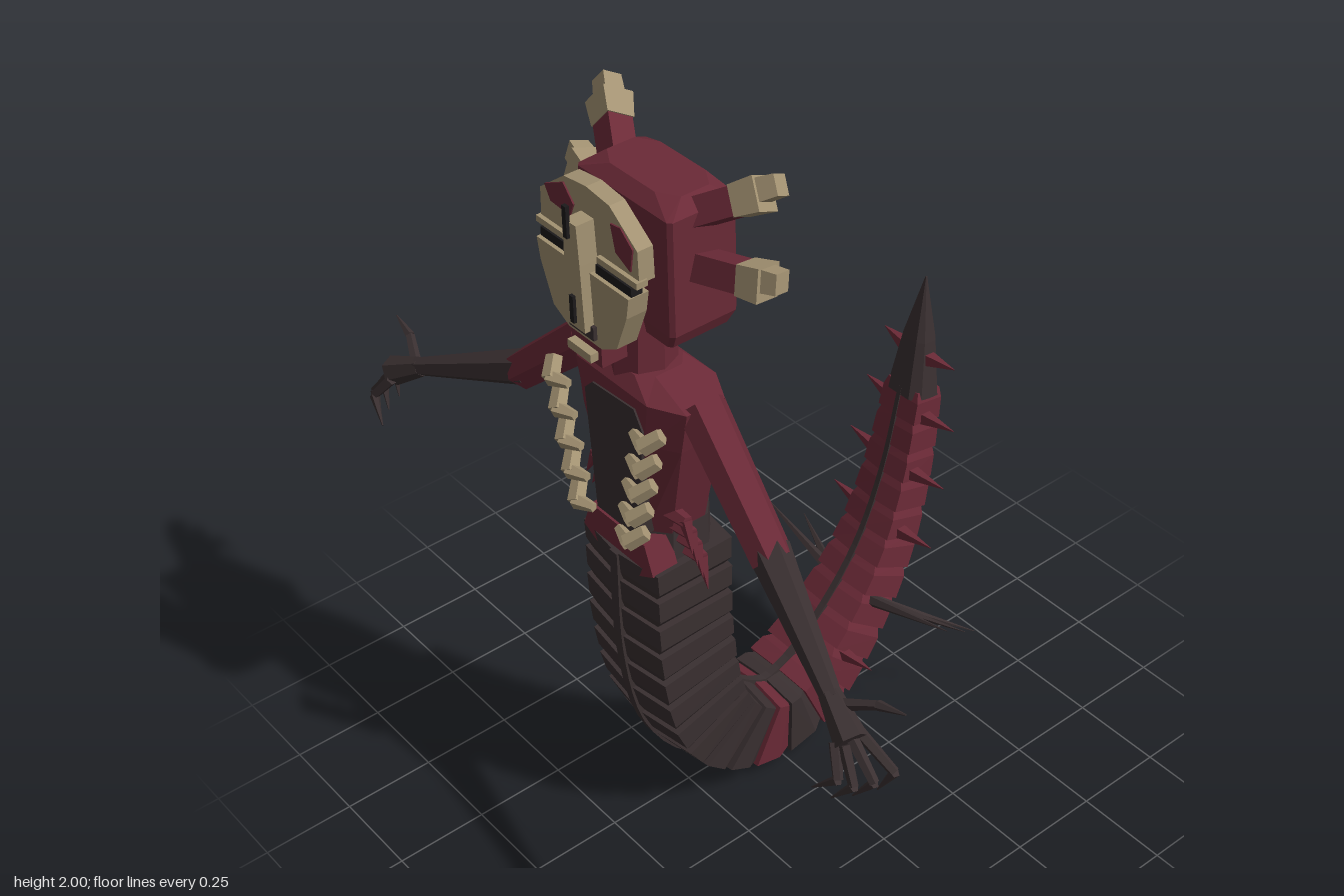
import * as THREE from 'three';

const mat = (name, color) => {
  const m = new THREE.MeshStandardMaterial({ color, flatShading: true });
  m.name = name;
  return m;
};
const V = (x, y, z) => new THREE.Vector3(x, y, z);

export function createModel() {
  const root = new THREE.Group();
  const maroon = mat('maroon', 0x6b2a37);
  const dark = mat('charcoal', 0x3a3031);
  const bone = mat('bone', 0xa39272);
  const black = mat('black', 0x1c1a1b);

  const add = (name, geo, m, parent = root) => {
    const mesh = new THREE.Mesh(geo, m);
    mesh.name = name;
    parent.add(mesh);
    return mesh;
  };
  const box = (name, m, x, y, z, w, h, d) => {
    const mesh = add(name, new THREE.BoxGeometry(w, h, d), m);
    mesh.position.set(x, y, z);
    return mesh;
  };
  // tapered prism between two points
  const limb = (name, m, a, b, r1, r2, sides = 6) => {
    const dir = b.clone().sub(a);
    const geo = new THREE.CylinderGeometry(r2, r1, dir.length(), sides);
    if (sides === 4) geo.rotateY(Math.PI / 4);
    const mesh = add(name, geo, m);
    mesh.position.copy(a).lerp(b, 0.5);
    mesh.quaternion.setFromUnitVectors(V(0, 1, 0), dir.normalize());
    return mesh;
  };
  // extruded flat outline facing +z
  const plate = (name, m, pts, z, depth) => {
    const shape = new THREE.Shape(pts.map(p => new THREE.Vector2(...p)));
    return add(name, new THREE.ExtrudeGeometry(shape, { depth, bevelEnabled: false }), m).translateZ(z);
  };
  const sym = half => [...half, ...half.filter(p => p[0] > 0).reverse().map(([x, y]) => [-x, y])];
  // closed skin through rings of equal length
  const loft = rings => {
    const pos = [], n = rings[0].length;
    const tri = (...ps) => ps.forEach(p => pos.push(p.x, p.y, p.z));
    for (let i = 0; i < rings.length - 1; i++) {
      for (let j = 0; j < n; j++) {
        const k = (j + 1) % n, A = rings[i], B = rings[i + 1];
        tri(A[j], A[k], B[k]);
        tri(A[j], B[k], B[j]);
      }
    }
    const S = rings[0], E = rings[rings.length - 1];
    for (let j = 1; j < n - 1; j++) {
      tri(S[0], S[j + 1], S[j]);
      tri(E[0], E[j], E[j + 1]);
    }
    const g = new THREE.BufferGeometry();
    g.setAttribute('position', new THREE.Float32BufferAttribute(pos, 3));
    g.computeVertexNormals();
    return g;
  };
  // cross-section in x and the outward direction (0, ny, nz)
  const ring = (y, z, w, d, profile, ny = 0, nz = 1) =>
    profile.map(([u, v]) => V(u * w, y + v * d * ny, z + v * d * nz));
  const chamfered = [[1, -0.55], [1, 0.55], [0.6, 1], [-0.6, 1], [-1, 0.55], [-1, -0.55], [-0.6, -1], [0.6, -1]];
  const ridged = [[1, -0.86], [1, 0.86], [0, 1], [-1, 0.86], [-1, -0.86], [0, -1]];
  const square = [[1, -1], [1, 1], [-1, 1], [-1, -1]];

  // tail path: x carries the half depth of the body
  const path = new THREE.CatmullRomCurve3([
    V(0.132, 0.925, 0.325), V(0.132, 0.6, 0.318), V(0.128, 0.36, 0.27), V(0.115, 0.2, 0.165), V(0.103, 0.115, 0),
    V(0.1, 0.15, -0.13), V(0.09, 0.27, -0.265), V(0.075, 0.47, -0.4), V(0.062, 0.7, -0.48), V(0.05, 0.96, -0.527)]);
  const tailRing = (t, profile, kw, kd) => {
    const p = path.getPointAt(t), q = path.getTangentAt(t), l = Math.hypot(q.y, q.z);
    return ring(p.y, p.z, (p.x + 0.013) * kw, p.x * kd, profile, q.z / l, -q.y / l);
  };
  const N = 23;
  for (let i = 0; i < N; i++) {
    const a = i / N, z = path.getPointAt(a + 0.5 / N).z;
    const red = z < -0.1 || i === 10;
    add('tailSegment', loft([tailRing(a, ridged, 1, 1), tailRing(a + 0.7 / N, ridged, 1, 0.98),
      tailRing(a + 1 / N, ridged, 0.87, 0.92)]), red ? maroon : dark);
  }
  const steps = [...Array(41).keys()].map(i => i / 40);
  add('tailSpine', loft(steps.map(t => tailRing(t, square, 0.1, 1.03))), dark);
  // pointed tail end
  add('tailTip', loft([ring(0.94, -0.524, 0.062, 0.052, chamfered, -0.1, -1),
    ring(1.1, -0.538, 0.04, 0.034, chamfered, -0.1, -1),
    ring(1.275, -0.552, 0.002, 0.002, chamfered, -0.1, -1)].map(r => r.reverse()).map(r => r.reverse())), dark);

  // torso
  add('torso', loft([
    ring(1.455, 0.345, 0.09, 0.07, chamfered), ring(1.42, 0.34, 0.215, 0.1, chamfered),
    ring(1.3, 0.335, 0.19, 0.105, chamfered), ring(1.0, 0.32, 0.115, 0.09, chamfered)]), maroon);
  add('waist', loft([ring(1.01, 0.315, 0.118, 0.095, chamfered), ring(0.9, 0.32, 0.125, 0.1, chamfered)]), dark);
  plate('chestPanel', dark, [[-0.1, 1.35], [-0.075, 1.01], [0.085, 1.01], [0.115, 1.34], [0.085, 1.39], [-0.07, 1.38]], 0.38, 0.065);
  plate('pelvisPlate', maroon, sym([[0, 0.87], [0.06, 0.88], [0.135, 0.92], [0.105, 1.0]]), 0.37, 0.075);
  limb('neck', maroon, V(0, 1.43, 0.35), V(0, 1.62, 0.345), 0.082, 0.08, 8);

  // head block with bevelled edges
  add('head', loft([
    ring(1.925, 0.29, 0.13, 0.07, chamfered), ring(1.895, 0.295, 0.165, 0.092, square),
    ring(1.6, 0.295, 0.165, 0.092, square), ring(1.565, 0.3, 0.15, 0.08, square)]
    .map((r, i) => (i ? ring(r[0].y, [0, 0.295, 0.295, 0.3][i], r[0].x, [0, 0.095, 0.095, 0.085][i],
      [[1, -0.9], [1, 0.9], [0.94, 1], [-0.94, 1], [-1, 0.9], [-1, -0.9], [-0.94, -1], [0.94, -1]]) : r))), maroon);

  // floating mask
  plate('maskBrow', bone, sym([[0.175, 1.79], [0.172, 1.87], [0.08, 1.94], [0, 1.95]]), 0.44, 0.042);
  plate('maskCheeks', bone, sym([[0, 1.57], [0.06, 1.57], [0.115, 1.6], [0.155, 1.7], [0.165, 1.755]]), 0.45, 0.055);
  plate('noseBridge', bone, sym([[0.035, 1.61], [0.028, 1.78], [0.022, 1.88]]), 0.475, 0.055);
  plate('leftBrowMark', maroon, [[0.085, 1.9], [0.1, 1.835], [0.15, 1.81], [0.16, 1.87], [0.12, 1.905]], 0.48, 0.006);
  plate('rightBrowMark', maroon, [[-0.15, 1.89], [-0.13, 1.855], [-0.06, 1.85], [-0.045, 1.885], [-0.08, 1.925]], 0.48, 0.006);
  box('upperSlit', black, -0.008, 1.88, 0.533, 0.014, 0.08, 0.01);
  box('lowerSlit', black, 0, 1.66, 0.533, 0.014, 0.07, 0.01);
  box('mouth', dark, 0, 1.605, 0.5, 0.09, 0.035, 0.03);
  box('chin', maroon, 0, 1.545, 0.468, 0.11, 0.06, 0.07);
  box('lowerLip', bone, 0, 1.542, 0.512, 0.085, 0.022, 0.025);

  for (const s of [1, -1]) {
    const P = (x, y, z) => V(x * s, y, z);
    // eyes
    box('eye', black, s * 0.1, 1.765, 0.48, 0.125, 0.026, 0.03);
    box('eyeRidge', bone, s * 0.11, 1.79, 0.478, 0.14, 0.016, 0.03);
    // horns with stepped bone ends
    for (const [a, b] of [[P(0.09, 1.845, 0.32), P(0.285, 1.962, 0.205)], [P(0.12, 1.75, 0.31), P(0.345, 1.775, 0.25)]]) {
      const at = t => a.clone().lerp(b, t);
      limb('horn', maroon, a, at(0.7), 0.046, 0.046, 4);
      limb('hornCap', bone, at(0.66), at(0.92), 0.05, 0.056, 4);
      limb('hornTip', bone, at(0.85).add(V(0, 0.01, 0)), at(1.08).add(V(0, 0.01, 0)), 0.038, 0.034, 4);
    }
    // ribs: short hooks standing off the chest
    for (let i = 0; i < 5; i++) {
      const y = 1.375 - i * 0.081, x = 0.2 - i * 0.018;
      limb('rib', bone, P(x, y + 0.012, 0.455), P(x - 0.03, y - 0.02, 0.49), 0.021, 0.023, 5);
      limb('ribEnd', bone, P(x - 0.025, y - 0.018, 0.488), P(x - 0.08, y - 0.014, 0.475), 0.022, 0.012, 5);
    }
    // curved hip spines
    for (let i = 0; i < 4; i++) {
      const y = 1.08 - i * 0.045, z = 0.37 - i * 0.015;
      limb('hipSpineBase', maroon, P(0.1, y - 0.01, z), P(0.175, y - 0.005, z), 0.024, 0.017, 5);
      limb('hipSpineTip', maroon, P(0.17, y, z), P(0.205, y - 0.075, z + 0.01), 0.018, 0.001, 5);
    }
    // arms
    limb('upperArm', maroon, P(0.19, 1.41, 0.335), P(0.475, 1.155, 0.365), 0.06, 0.052);
    limb('forearm', dark, P(0.455, 1.17, 0.36), P(0.8, 1.035, 0.475), 0.05, 0.024);
    limb('palm', dark, P(0.785, 1.04, 0.47), P(0.885, 0.985, 0.495), 0.026, 0.04);
    const fingers = [
      [P(0.87, 1.0, 0.47), P(0.97, 0.925, 0.445), P(0.935, 0.855, 0.46)],
      [P(0.88, 0.99, 0.49), P(0.955, 0.91, 0.49), P(0.91, 0.85, 0.51)],
      [P(0.88, 0.98, 0.51), P(0.935, 0.91, 0.53), P(0.885, 0.85, 0.55)],
      [P(0.86, 0.98, 0.52), P(0.905, 0.92, 0.55), P(0.845, 0.865, 0.57)],
      [P(0.82, 1.03, 0.465), P(0.895, 1.06, 0.43), P(0.97, 1.08, 0.42)]];
    for (const [a, b, c] of fingers) {
      limb('finger', dark, a, b, 0.015, 0.012, 5);
      limb('claw', dark, b, c, 0.013, 0.002, 5);
    }
    // tail spikes: half width, y, z, reach
    for (const [w, y, z, reach] of [[0.09, 0.25, -0.21, 0.2], [0.07, 0.555, -0.42, 0.19], [0.06, 0.725, -0.465, 0.18],
      [0.05, 0.885, -0.505, 0.165], [0.03, 1.05, -0.53, 0.13]]) {
      limb('tailSpike', maroon, P(w * 0.6, y, z), P(reach, y + 0.01, z - 0.01), 0.028, 0.001, 4);
    }
    for (const tip of [P(0.365, 0.45, -0.33), P(0.325, 0.355, -0.44), P(0.275, 0.27, -0.53)]) {
      limb('longSpike', dark, P(0.07, 0.37, -0.32), tip, 0.018, 0.001, 5);
    }
  }
  return root;
}
